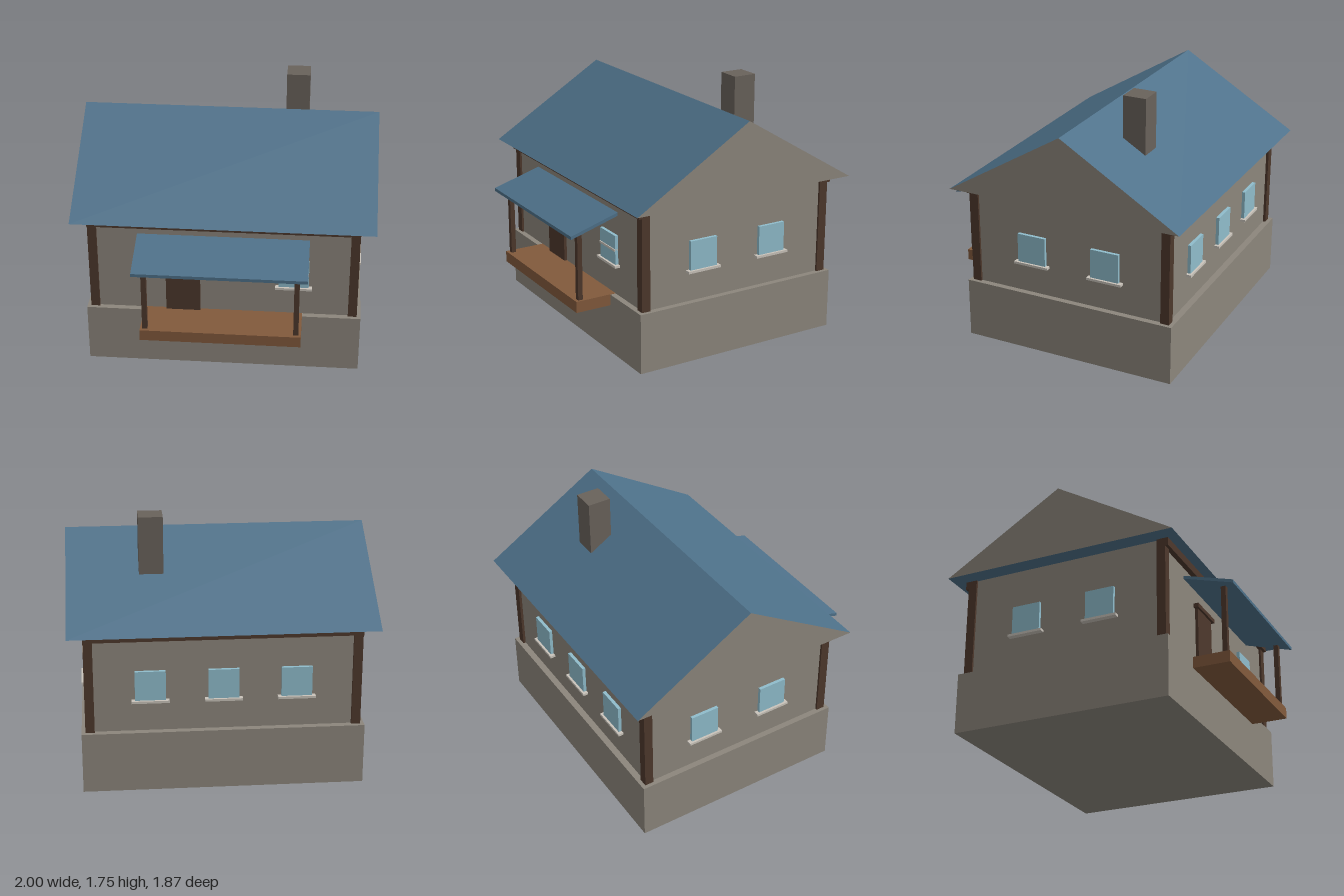
import * as THREE from 'three';

const paint = (name, color) => {
  const m = new THREE.MeshStandardMaterial({ color });
  m.name = name;
  return m;
};

export function createModel() {
  const house = new THREE.Group();
  house.name = 'house';

  const stone = paint('warm grey plaster', 0x8c867c);
  const roofBlue = paint('slate blue', 0x4e718a);
  const timber = paint('dark timber', 0x4d382c);
  const deckWood = paint('deck wood', 0x825a3c);
  const brick = paint('chimney grey', 0x69625b);
  const glass = paint('window glass', 0x8fbccb);
  const trim = paint('pale trim', 0xc9c3ba);

  // Box given by its limits on each axis
  const box = (name, mat, [x0, x1], [y0, y1], [z0, z1], parent = house) => {
    const mesh = new THREE.Mesh(new THREE.BoxGeometry(x1 - x0, y1 - y0, z1 - z0), mat);
    mesh.position.set((x0 + x1) / 2, (y0 + y1) / 2, (z0 + z1) / 2);
    mesh.name = name;
    parent.add(mesh);
    return mesh;
  };

  // Profile of [z, y] points swept along x, centred on x = 0
  const sweep = (name, mats, points, width) => {
    const shape = new THREE.Shape(points.map(([z, y]) => new THREE.Vector2(-z, y)));
    const geo = new THREE.ExtrudeGeometry(shape, { depth: width, bevelEnabled: false });
    geo.translate(0, 0, -width / 2).rotateY(Math.PI / 2);
    const mesh = new THREE.Mesh(geo, mats);
    mesh.name = name;
    house.add(mesh);
  };

  // Main body
  box('foundation', stone, [-0.925, 0.925], [0, 0.41], [-0.86, 0.635]);
  box('walls', stone, [-0.885, 0.885], [0.41, 1.095], [-0.815, 0.595]);

  // Corner posts and eave beams
  for (const x of [-0.87, 0.87]) {
    for (const z of [-0.803, 0.58]) {
      box('cornerPost', timber, [x - 0.03, x + 0.03], [0.41, 1.094], [z - 0.03, z + 0.03]);
    }
  }
  box('frontBeam', timber, [-0.9, 0.9], [1.04, 1.095], [0.57, 0.63]);
  box('backBeam', timber, [-0.9, 0.9], [1.04, 1.095], [-0.855, -0.79]);

  // Gabled roof with plastered ends, and the chimney
  sweep('mainRoof', [stone, roofBlue], [[0.7, 1.095], [-0.935, 1.095], [-0.117, 1.59]], 2);
  box('chimney', brick, [0.365, 0.525], [1.2, 1.75], [-0.485, -0.325]);

  // Porch
  box('porchDeck', deckWood, [-0.533, 0.533], [0.335, 0.412], [0.58, 0.885]);
  for (const x of [-0.5, 0.5]) {
    box('porchPost', timber, [x - 0.017, x + 0.017], [0.41, 0.878], [0.83, 0.863]);
  }
  sweep('porchRoof', roofBlue, [[0.935, 0.86], [0.935, 0.882], [0.59, 0.985], [0.59, 0.963]], 1.14);

  // Door
  box('door', timber, [-0.385, -0.155], [0.412, 0.83], [0.58, 0.615]);
  box('doorLintel', timber, [-0.412, -0.13], [0.825, 0.853], [0.58, 0.63]);

  // Windows: local +z faces outwards, origin on the wall
  const addWindow = (name, x, z, turn, barred = false) => {
    const group = new THREE.Group();
    group.name = name;
    box('pane', glass, [-0.1, 0.1], [0.622, 0.827], [-0.02, 0.022], group);
    box('sill', trim, [-0.123, 0.123], [0.612, 0.628], [-0.02, 0.037], group);
    if (barred) box('glazingBar', trim, [-0.1, 0.1], [0.72, 0.735], [0, 0.028], group);
    group.position.set(x, 0, z);
    group.rotation.y = turn;
    house.add(group);
  };
  addWindow('frontWindow', 0.472, 0.595, 0, true);
  for (const x of [-0.475, 0, 0.475]) addWindow('backWindow', x, -0.815, Math.PI);
  for (const z of [0.152, -0.38]) {
    addWindow('leftWindow', 0.885, z, Math.PI / 2);
    addWindow('rightWindow', -0.885, z, -Math.PI / 2);
  }

  return house;
}
